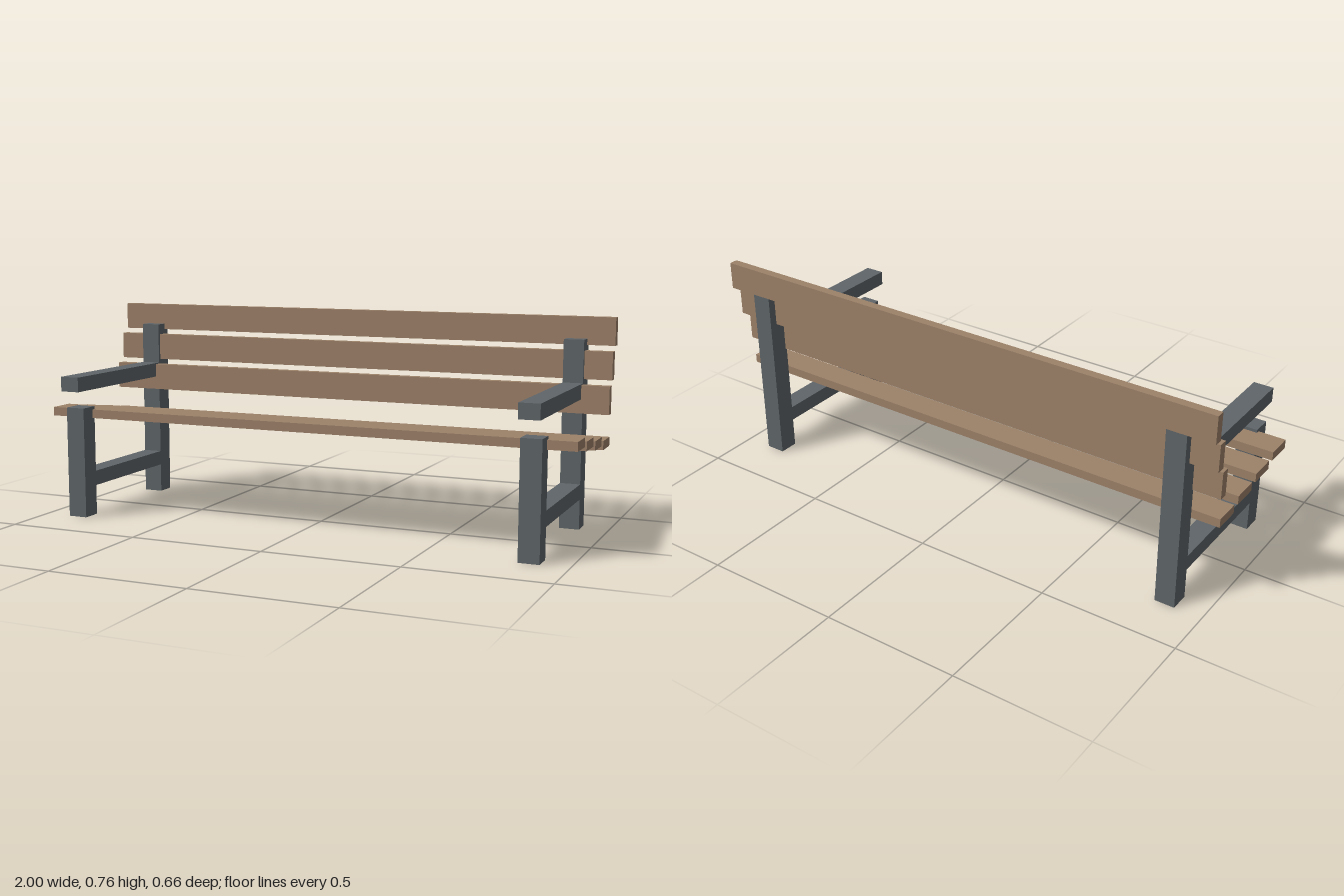
import * as THREE from 'three';

export function createModel() {
  const bench = new THREE.Group();
  bench.name = 'bench';
  const wood = new THREE.MeshStandardMaterial({ color: 0x9c8169 });
  wood.name = 'slat wood';
  const metal = new THREE.MeshStandardMaterial({ color: 0x5f6569 });
  metal.name = 'grey frame';

  // Box given by its x centre and width, and its y and z limits
  function box(parent, name, material, x, width, [y0, y1], [z0, z1]) {
    const mesh = new THREE.Mesh(new THREE.BoxGeometry(width, y1 - y0, z1 - z0), material);
    mesh.position.set(x, (y0 + y1) / 2, (z0 + z1) / 2);
    mesh.name = name;
    parent.add(mesh);
  }

  // End frames, mirrored left and right
  const post = 0.073;
  for (const side of [1, -1]) {
    const frame = new THREE.Group();
    frame.name = side > 0 ? 'leftFrame' : 'rightFrame';
    const x = side * 0.8635;
    box(frame, 'frontLeg', metal, x, post, [0, 0.41], [0.225, 0.297]);
    box(frame, 'backPost', metal, x, post, [0, 0.682], [-0.321, -0.249]);
    box(frame, 'armrest', metal, x, post, [0.474, 0.528], [-0.249, 0.329]);
    box(frame, 'lowerRail', metal, x, post, [0.11, 0.165], [-0.249, 0.225]);
    bench.add(frame);
  }

  // Seat slats step down towards the back
  for (let i = 0; i < 4; i++) {
    const y = 0.383 - i * 0.0182;
    const z = 0.188 - i * 0.1275;
    box(bench, 'seatSlat', wood, 0, 2, [y - 0.016, y + 0.016], [z - 0.05, z + 0.05]);
  }

  // Back slats step rearwards as they rise
  for (let i = 0; i < 3; i++) {
    const y = 0.474 + i * 0.118;
    const z = -0.239 - i * 0.0365;
    box(bench, 'backSlat', wood, 0, 2, [y - 0.05, y + 0.05], [z - 0.016, z + 0.016]);
  }
  return bench;
}
